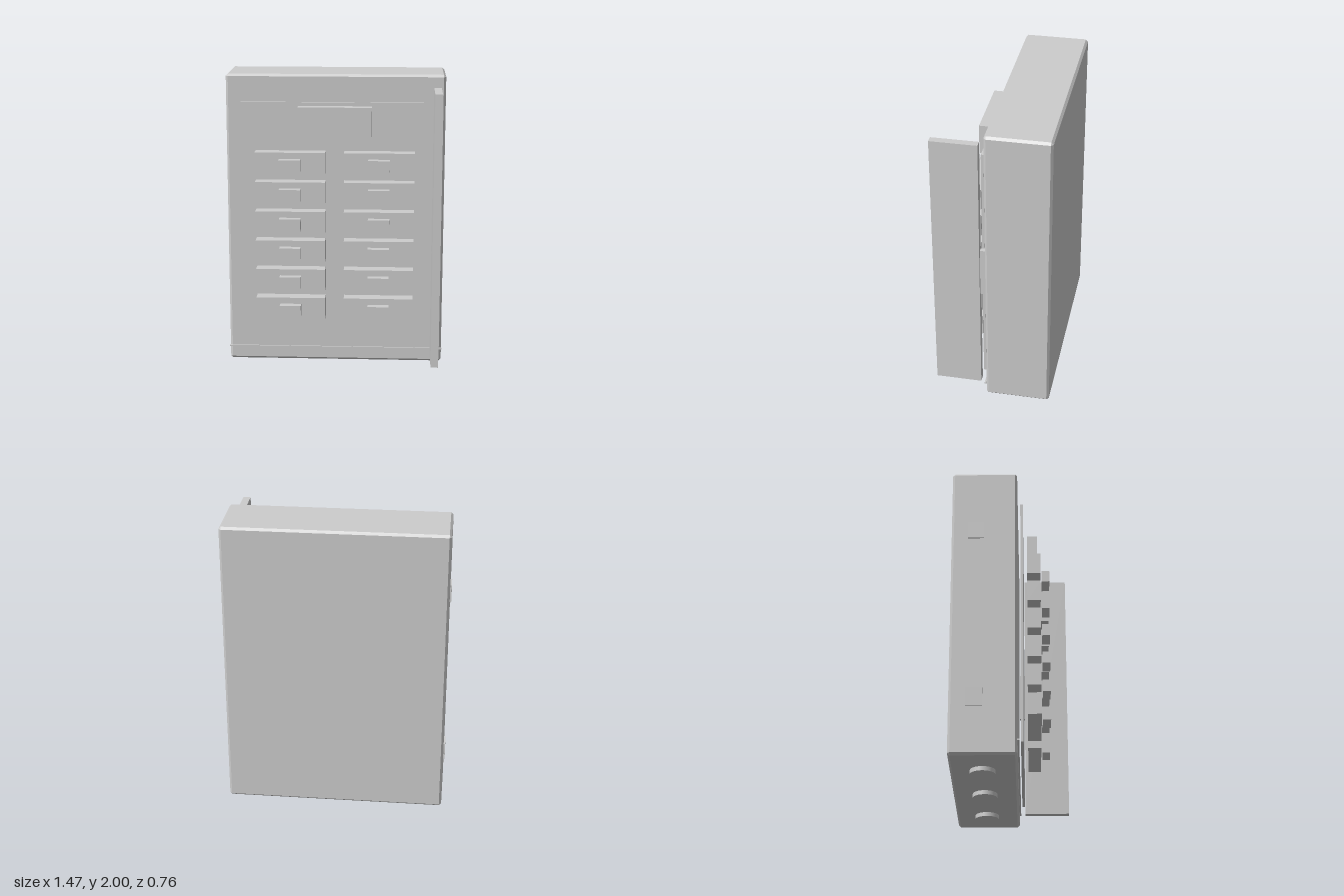
import * as THREE from 'three';
import { ConvexGeometry } from 'three/addons/geometries/ConvexGeometry.js';

// Box with every edge cut by a single flat chamfer
function chamferedBox(w, h, d, c) {
  const pts = [];
  for (const sx of [-1, 1]) for (const sy of [-1, 1]) for (const sz of [-1, 1]) {
    const x = w / 2, y = h / 2, z = d / 2;
    pts.push(
      new THREE.Vector3(sx * x, sy * (y - c), sz * (z - c)),
      new THREE.Vector3(sx * (x - c), sy * y, sz * (z - c)),
      new THREE.Vector3(sx * (x - c), sy * (y - c), sz * z));
  }
  return new ConvexGeometry(pts);
}

export function createModel() {
  const group = new THREE.Group();
  const grey = new THREE.MeshStandardMaterial({ color: 0xcccccc });
  grey.name = 'paintedGrey';

  function add(name, geometry, x, y, z) {
    const mesh = new THREE.Mesh(geometry, grey);
    mesh.name = name;
    mesh.position.set(x, y, z);
    group.add(mesh);
    return mesh;
  }
  // Box given by its limits on each axis
  const box = (name, x0, x1, y0, y1, z0, z1) =>
    add(name, new THREE.BoxGeometry(x1 - x0, y1 - y0, z1 - z0),
      (x0 + x1) / 2, (y0 + y1) / 2, (z0 + z1) / 2);

  // Cabinet
  add('cabinet', chamferedBox(1.45, 1.973, 0.422, 0.015), 0, 1.0135, -0.171);

  // Front panel, main switch block and lower trim strip
  box('frontPanel', -0.625, 0.625, 0.147, 1.82, 0.059, 0.076);
  box('mainBlock', -0.242, 0.242, 1.6, 1.8, 0.102, 0.169);
  box('trimStrip', -0.73, 0.73, 0.115, 0.125, 0.038, 0.05);

  // Two columns of breakers, each with a toggle
  for (const side of [-1, 1]) {
    for (let row = 0; row < 6; row++) {
      const y = 1.431 - row * 0.198;
      add('breaker', new THREE.BoxGeometry(0.463, 0.145, 0.087), side * 0.2935, y, 0.1455);
      add('toggle', new THREE.BoxGeometry(0.141, 0.079, 0.051), side * 0.2925, y - 0.006, 0.2235);
    }
  }

  // Open door edge-on, with its hinge
  box('door', 0.646, 0.695, 0.104, 1.92, 0.08, 0.382);
  box('doorHinge', 0.646, 0.676, 0.815, 1.149, 0.044, 0.082);

  // Small plates on the right side
  for (const y of [0.4, 1.565]) box('sidePlate', -0.735, -0.72, y - 0.058, y + 0.058, -0.276, -0.174);

  // Cable glands underneath
  for (const x of [-0.445, 0, 0.445]) {
    add('cableGland', new THREE.CylinderGeometry(0.08, 0.08, 0.035, 24), x, 0.0175, -0.178);
  }
  return group;
}
